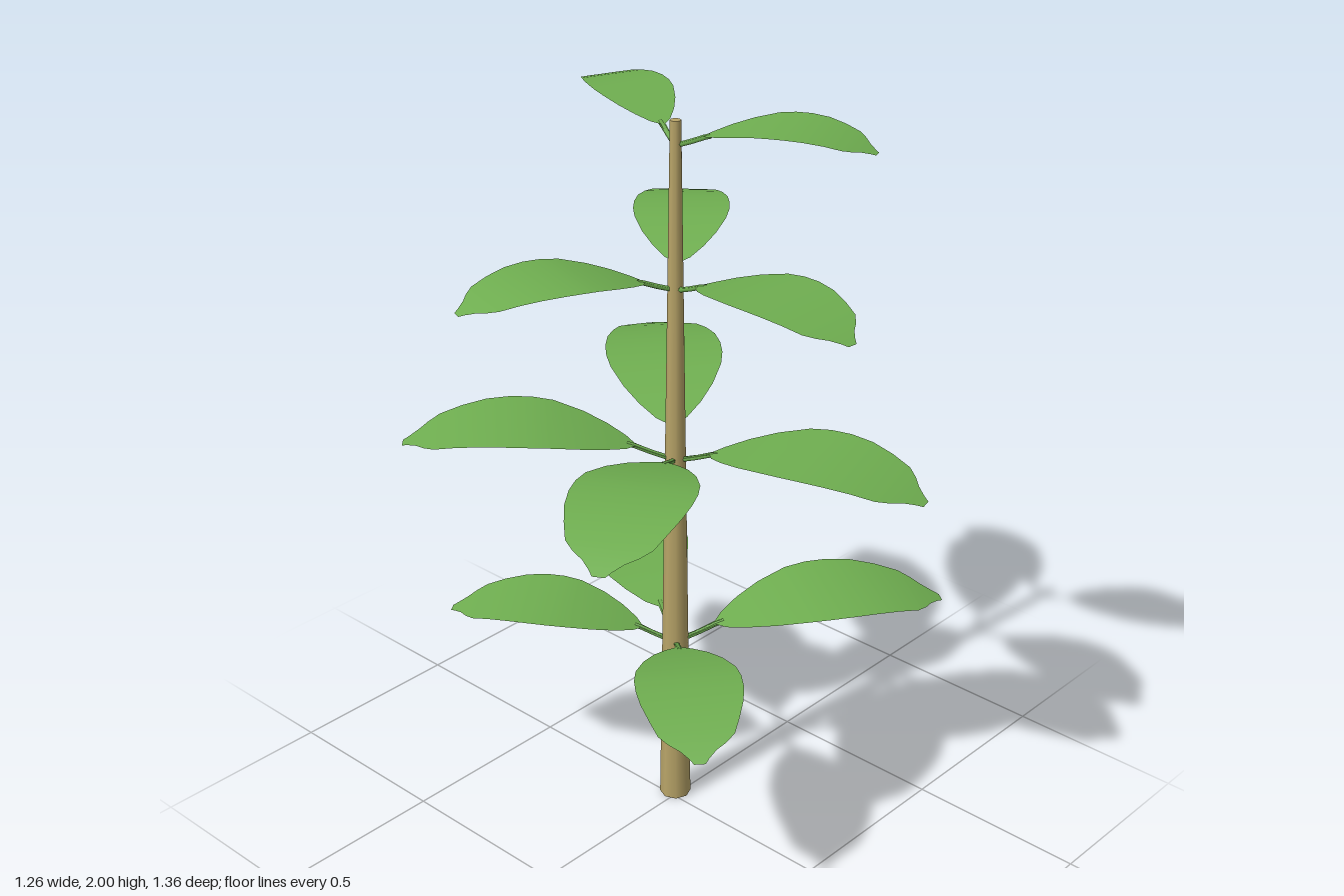
import * as THREE from 'three';

const leafMat = new THREE.MeshStandardMaterial({ color: 0x6fae50, side: THREE.DoubleSide });
const stemMat = new THREE.MeshStandardMaterial({ color: 0xb8a468 });

// Stem axis
const CX = 0.023, CZ = -0.015;

// Leaf cross-sections for unit length: distance, height, half width
const SECTIONS = [
  [0, 0, 0.012], [0.09, 0.034, 0.011], [0.15, 0.06, 0.014], [0.18, 0.07, 0.055],
  [0.25, 0.095, 0.11], [0.34, 0.122, 0.16], [0.45, 0.148, 0.2], [0.53, 0.157, 0.212],
  [0.61, 0.16, 0.212], [0.7, 0.156, 0.2], [0.79, 0.142, 0.175], [0.87, 0.122, 0.147],
  [0.91, 0.109, 0.11], [0.94, 0.099, 0.07], [0.975, 0.086, 0.038], [0.998, 0.077, 0.022],
];

// Thin blade, flat across and arched along +x
function bladeGeometry(length) {
  const pos = [], index = [];
  SECTIONS.forEach(([x, y, w], i) => {
    for (const side of [-1, 0, 1]) pos.push(x * length, y * length, side * w * length);
    if (i === 0) return;
    for (let k = 0; k < 2; k++) {
      const a = (i - 1) * 3 + k, b = a + 1, c = a + 3, d = a + 4;
      index.push(a, b, d, a, d, c);
    }
  });
  const g = new THREE.BufferGeometry();
  g.setAttribute('position', new THREE.Float32BufferAttribute(pos, 3));
  g.setIndex(index);
  g.computeVertexNormals();
  return g;
}

// Leaf turned about the stem; angle in degrees from +x toward +z
function makeLeaf(angle, length) {
  const leaf = new THREE.Group();
  leaf.name = 'leaf';
  const blade = new THREE.Mesh(bladeGeometry(length), leafMat);
  blade.name = 'leafBlade';
  const path = new THREE.CatmullRomCurve3(
    SECTIONS.slice(0, 4).map(([x, y]) => new THREE.Vector3(x * length, y * length - 0.004, 0)));
  const stalk = new THREE.Mesh(new THREE.TubeGeometry(path, 6, 0.007, 5), leafMat);
  stalk.name = 'leafStalk';
  leaf.add(blade, stalk);
  leaf.rotation.y = -THREE.MathUtils.degToRad(angle);
  return leaf;
}

// Whorls of leaves: height on the stem, then [angle, length] of each leaf
const WHORLS = [
  { y: 0.5, leaves: [[37, 0.75], [132, 0.655], [236, 0.625], [299, 0.755]] },
  { y: 1.06, leaves: [[77, 0.71], [151.5, 0.73], [226, 0.71], [313, 0.755]] },
  { y: 1.54, leaves: [[95, 0.61], [200, 0.59], [320, 0.595]] },
  { y: 1.92, leaves: [[69, 0.51], [292, 0.48]] },
];

export function createModel() {
  const plant = new THREE.Group();
  plant.name = 'plant';

  // Tapering stem
  const stem = new THREE.Mesh(new THREE.CylinderGeometry(0.014, 0.043, 1.98, 8, 4), stemMat);
  stem.name = 'stem';
  stem.position.set(CX, 0.99, CZ);
  plant.add(stem);

  for (const { y, leaves } of WHORLS) {
    const whorl = new THREE.Group();
    whorl.name = 'leafWhorl';
    whorl.position.set(CX, y, CZ);
    for (const [angle, length] of leaves) whorl.add(makeLeaf(angle, length));
    plant.add(whorl);
  }
  return plant;
}
